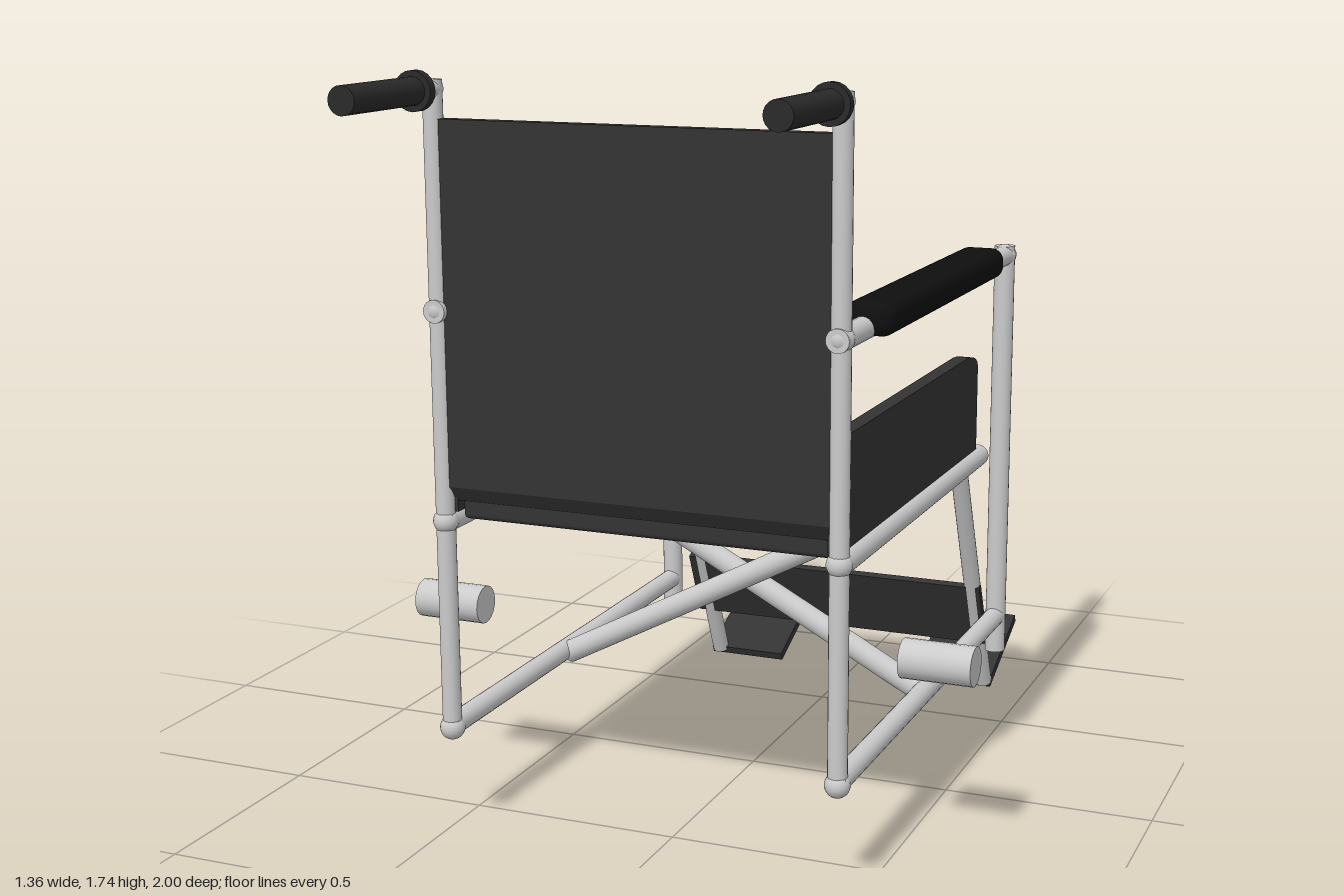
import * as THREE from 'three';
import { RoundedBoxGeometry } from 'three/addons/geometries/RoundedBoxGeometry.js';

const metal = new THREE.MeshStandardMaterial({ color: 0xcccccc });
const paint = (color) => {
  const m = new THREE.MeshStandardMaterial();
  m.color.set(color);
  return m;
};
const fabric = paint(0x333333);
const rubber = paint(0x2a2a2a);
const black = paint(0x0f0f0f);

// The frame sits slightly to the right of the origin
const CX = -0.018;

export function createModel() {
  const model = new THREE.Group();
  model.name = 'wheelchair';

  function add(name, geometry, material, x = 0, y = 0, z = 0) {
    const mesh = new THREE.Mesh(geometry, material);
    mesh.name = name;
    mesh.position.set(x, y, z);
    model.add(mesh);
    return mesh;
  }

  // Straight round tube between two points
  function tube(name, a, b, radius, material = metal) {
    const start = new THREE.Vector3(...a);
    const end = new THREE.Vector3(...b);
    const dir = end.clone().sub(start);
    const mesh = add(name, new THREE.CylinderGeometry(radius, radius, dir.length(), 20), material);
    mesh.position.copy(start).add(end).multiplyScalar(0.5);
    mesh.quaternion.setFromUnitVectors(new THREE.Vector3(0, 1, 0), dir.normalize());
    return mesh;
  }

  // Prism along x from a (z, y) outline
  function prism(name, shape, x0, x1, material) {
    const geometry = new THREE.ExtrudeGeometry(shape, { depth: x1 - x0, bevelEnabled: false, curveSegments: 10 });
    geometry.rotateY(-Math.PI / 2);
    geometry.scale(1, 1, 1);
    return add(name, geometry, material, x1, 0, 0);
  }

  for (const s of [-1, 1]) {
    const side = s > 0 ? 'left' : 'right';
    const x = CX + s * 0.466;

    // Side frame
    tube(side + 'BackPost', [x, 0.24, 0.64], [x, 1.72, 0.64], 0.022);
    tube(side + 'FrontLeg', [x, 0.165, -0.606], [x, 1.245, -0.606], 0.026);
    tube(side + 'ArmTube', [x, 1.22, 0.665], [x, 1.22, -0.625], 0.026);
    tube(side + 'SeatTube', [x, 0.743, 0.65], [x, 0.743, -0.4], 0.027);
    tube(side + 'BottomTube', [x, 0.26, 0.65], [x, 0.26, -0.6], 0.025);
    for (const [y, z] of [[1.22, 0.64], [1.22, -0.606], [0.743, 0.64], [0.255, 0.64]]) {
      add(side + 'FrameJoint', new THREE.SphereGeometry(0.029, 16, 12), metal, x, y, z);
    }

    // Push handle
    tube(side + 'HandleStem', [x, 1.7, 0.63], [x, 1.7, 0.73], 0.022);
    tube(side + 'HandleFlange', [x, 1.7, 0.702], [x, 1.7, 0.724], 0.044, rubber);
    tube(side + 'HandleGrip', [x, 1.7, 0.715], [x, 1.7, 1.0], 0.031, rubber);

    // Arm pad
    add(side + 'ArmPad', new RoundedBoxGeometry(0.114, 0.074, 0.885, 4, 0.03),
      s > 0 ? black : rubber, CX + s * 0.475, 1.238, 0.068);

    // Axle stub
    tube(side + 'AxleStub', [s * 0.517, 0.475, 0.41], [s * 0.682, 0.475, 0.41], 0.045);

    // Side guard with a rounded front corner
    const guard = new THREE.Shape();
    guard.moveTo(0.635, 0.765);
    guard.lineTo(0.635, 1.015);
    guard.lineTo(-0.26, 1.015);
    guard.quadraticCurveTo(-0.355, 1.01, -0.355, 0.975);
    guard.lineTo(-0.355, 0.765);
    const gx = CX + s * 0.455;
    prism(side + 'SideGuard', guard, gx - 0.018, gx + 0.018, fabric);

    // Footrest hanger and plate
    const fx = CX / 2 + s * 0.389;
    tube(side + 'FootrestHanger', [fx, 0.76, -0.432], [fx, 0.02, -0.748], 0.022);
    const plate = add(side + 'FootPlate', new THREE.BoxGeometry(0.21, 0.022, 0.278), fabric,
      -0.01 + s * 0.305, 0.072, -0.869);
    plate.rotation.x = Math.atan2(0.11, 0.25);
  }

  // Crossed braces under the seat
  tube('crossBraceRear', [CX - 0.455, 0.255, 0.066], [CX + 0.455, 0.735, 0.066], 0.028);
  tube('crossBraceFront', [CX - 0.455, 0.735, 0.014], [CX + 0.455, 0.255, 0.014], 0.028);

  // Seat
  add('seat', new RoundedBoxGeometry(0.87, 0.055, 1.0, 3, 0.012), fabric, CX + 0.005, 0.775, 0.127);

  // Backrest, thinning towards the top
  const back = new THREE.Shape();
  back.moveTo(0.652, 0.825);
  back.lineTo(0.652, 1.637);
  back.lineTo(0.622, 1.637);
  back.quadraticCurveTo(0.604, 1.6, 0.6, 1.5);
  back.lineTo(0.588, 1.0);
  back.lineTo(0.588, 0.79);
  back.lineTo(0.63, 0.79);
  prism('backrest', back, CX - 0.455, CX + 0.455, fabric);

  // Calf strap behind the hangers
  const strap = add('calfStrap', new THREE.BoxGeometry(0.835, 0.19, 0.018), fabric, -0.013, 0.245, -0.642);
  strap.rotation.x = Math.atan2(0.316, 0.74);

  return model;
}
